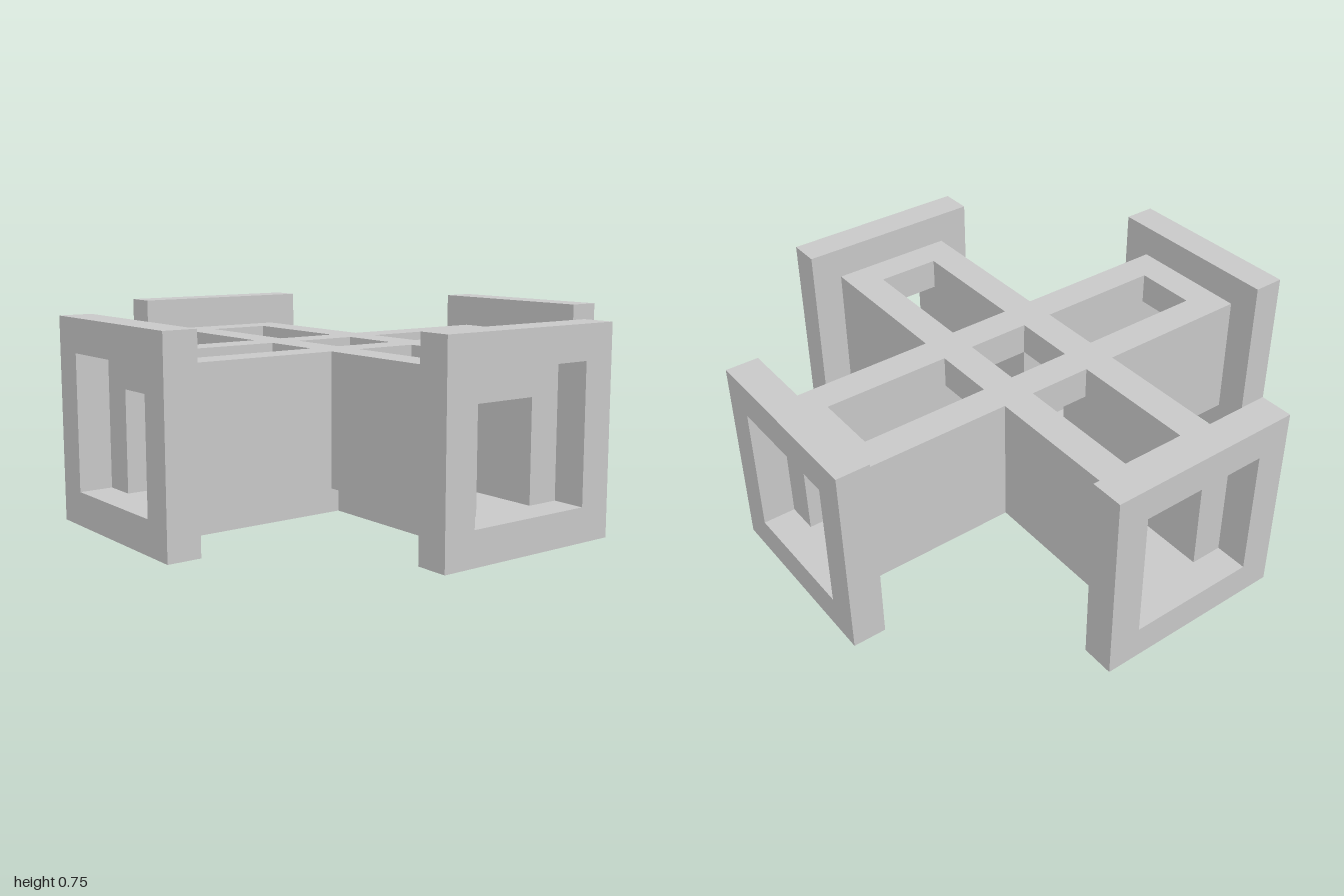
import * as THREE from 'three';

const U = 0.125; // one wall thickness; every size is a multiple of it

export function createModel() {
  const model = new THREE.Group();
  model.name = 'crossCorridor';
  const material = new THREE.MeshStandardMaterial({ color: 0xcccccc, flatShading: true });

  const toPoints = (pts) => pts.map(([x, y]) => new THREE.Vector2(x * U, y * U));
  const rect = (x0, y0, x1, y1) => [[x0, y0], [x1, y0], [x1, y1], [x0, y1]];

  // extrude an outline (in units of U) with optional holes
  function extrude(outline, holes, depth) {
    const shape = new THREE.Shape(toPoints(outline));
    holes.forEach((h) => shape.holes.push(new THREE.Path(toPoints(h))));
    return new THREE.ExtrudeGeometry(shape, { depth: depth * U, bevelEnabled: false });
  }

  // horizontal slab between two heights
  function slab(outline, holes, y0, y1) {
    return extrude(outline, holes, y1 - y0).rotateX(-Math.PI / 2).translate(0, y0 * U, 0);
  }

  function add(name, geometry, turn = 0) {
    const mesh = new THREE.Mesh(geometry, material);
    mesh.name = name;
    mesh.rotation.y = turn * Math.PI / 2;
    model.add(mesh);
  }

  // plus-shaped outline with arm half-width w and reach r
  const plus = (w, r) => [
    [w, w], [w, r], [-w, r], [-w, w], [-r, w], [-r, -w],
    [-w, -w], [-w, -r], [w, -r], [w, -w], [r, -w], [r, w],
  ];

  // narrow floor beam under the passages
  add('floor', slab(plus(1, 7), [], 0, 1));

  // roof with one skylight over each arm and one over the crossing
  const skylights = [
    rect(-1, -1, 1, 1),
    rect(2, -1, 6, 1), rect(-6, -1, -2, 1),
    rect(-1, 2, 1, 6), rect(-1, -6, 1, -2),
  ];
  add('roof', slab(plus(2, 7), skylights, 4, 5));

  // L-shaped corner walls and end frames, one of each per quarter turn
  const wall = slab([[1, 1], [7, 1], [7, 2], [2, 2], [2, 7], [1, 7]], [], 1, 4);
  const frame = extrude(rect(-3, 0, 3, 6), [rect(-2, 1, 2, 5)], 1).translate(0, 0, 7 * U);
  for (let i = 0; i < 4; i++) {
    add('cornerWall', wall, i);
    add('endFrame', frame, i);
  }
  return model;
}
